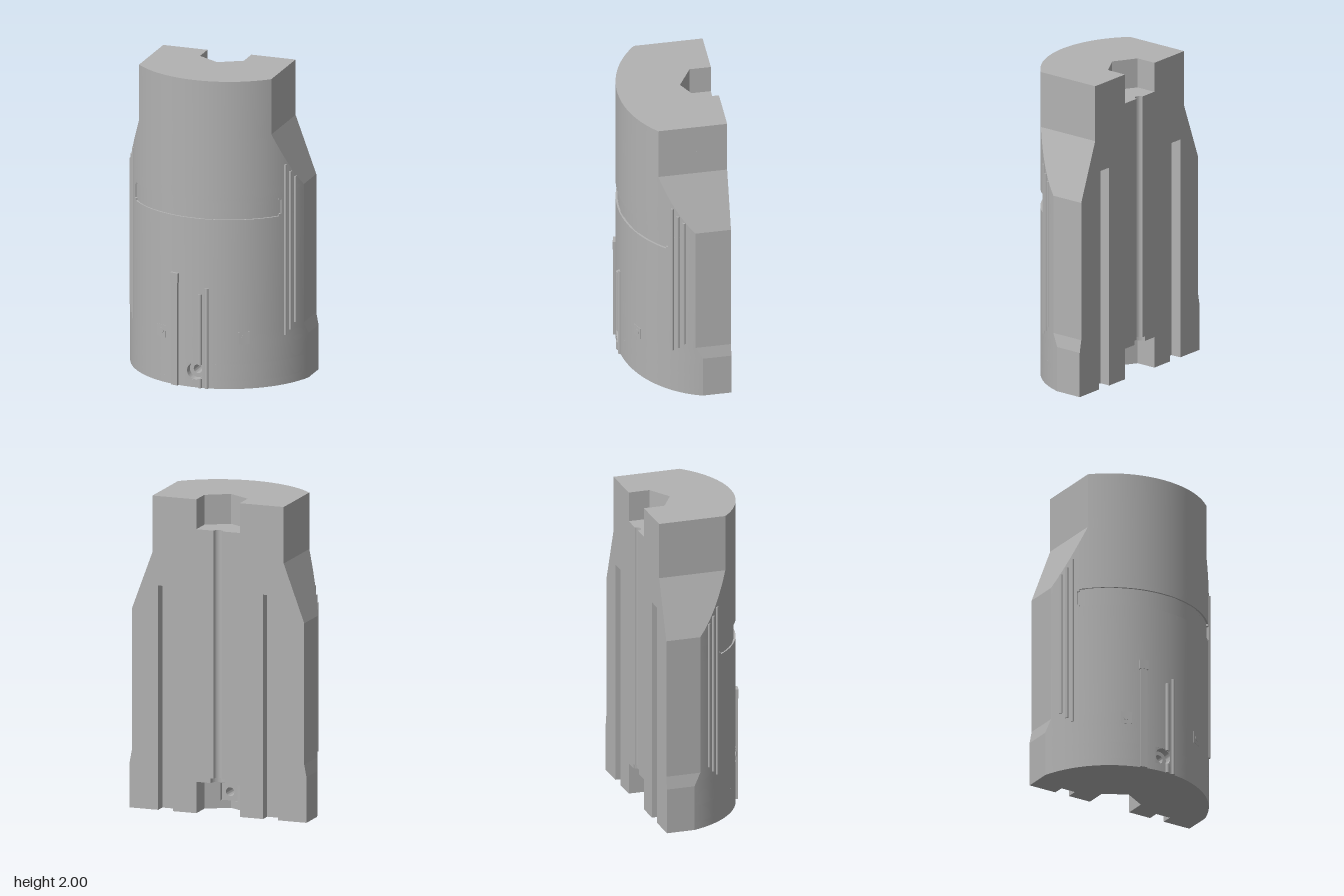
import * as THREE from 'three';
import { toCreasedNormals } from 'three/addons/utils/BufferGeometryUtils.js';

const R = 0.617;      // radius of the round front
const BACK = -0.315;  // flat back plane, also the centre of the round front
const N = 28;

// half width of the silhouette at each height
const WIDTHS = [[0, 0.59], [0.29, 0.59], [0.37, 0.575], [1.27, 0.575], [1.64, 0.438], [2, 0.438]];
function halfWidth(y) {
  for (let i = 1; i < WIDTHS.length; i++) {
    const [y0, w0] = WIDTHS[i - 1], [y1, w1] = WIDTHS[i];
    if (y <= y1) return w0 + (w1 - w0) * (y - y0) / (y1 - y0);
  }
  return WIDTHS[WIDTHS.length - 1][1];
}

const surfaceZ = x => BACK + Math.sqrt(R * R - x * x);

function arc(pts, r, a0, a1, n) {
  for (let i = 0; i <= n; i++) {
    const a = a0 + (a1 - a0) * i / n;
    pts.push([r * Math.sin(a), BACK + r * Math.cos(a)]);
  }
}

// horizontal section of the +x half, from the front middle round to the back middle
function halfSection(y, { x0 = 0, slot, groove, recess }) {
  const pts = [], w = halfWidth(y), end = Math.asin(w / R);
  if (recess) {
    const a = Math.asin(recess / R);
    arc(pts, R - 0.012, 0, a, N);
    arc(pts, R, a, end, 8);
  } else arc(pts, R, Math.asin(x0 / R), end, N);
  pts.push([w, BACK]);
  if (slot) pts.push([0.4, BACK], [0.4, BACK + 0.07], [0.3, BACK + 0.07], [0.3, BACK]);
  if (groove) {
    for (let i = 0; i <= 8; i++) {
      const a = i / 8 * Math.PI / 2;
      pts.push([groove * Math.cos(a), BACK + groove * Math.sin(a)]);
    }
  } else pts.push([0.145, BACK], [0.145, -0.18], [x0, -0.095 - 0.085 * x0 / 0.145]);
  return pts;
}

// both mirrored halves of the body, stacked from slabs
function bodyGeometry(slabs) {
  const pos = [];
  const tri = (a, b, c) => {
    pos.push(...a, ...b, ...c);
    for (const p of [a, c, b]) pos.push(-p[0], p[1], p[2]);
  };
  const cap = (pts, y, up) => {
    const v = pts.map(p => new THREE.Vector2(p[0], p[1]));
    for (const [i, j, k] of THREE.ShapeUtils.triangulateShape(v, [])) {
      const [a, b, c] = [i, j, k].map(n => [pts[n][0], y, pts[n][1]]);
      const ny = (b[2] - a[2]) * (c[0] - a[0]) - (b[0] - a[0]) * (c[2] - a[2]);
      if ((ny > 0) === up) tri(a, b, c); else tri(a, c, b);
    }
  };
  for (const [y0, y1, opts, steps = 1] of slabs) {
    for (let s = 0; s < steps; s++) {
      const ya = y0 + (y1 - y0) * s / steps, yb = y0 + (y1 - y0) * (s + 1) / steps;
      const lo = halfSection(ya, opts), hi = halfSection(yb, opts);
      const P = (q, i, y) => [q[i % q.length][0], y, q[i % q.length][1]];
      for (let i = 0; i < lo.length; i++) {
        tri(P(lo, i, ya), P(lo, i + 1, ya), P(hi, i + 1, yb));
        tri(P(lo, i, ya), P(hi, i + 1, yb), P(hi, i, yb));
      }
      if (s === 0) cap(lo, ya, false);
      if (s === steps - 1) cap(hi, yb, true);
    }
  }
  const g = new THREE.BufferGeometry();
  g.setAttribute('position', new THREE.Float32BufferAttribute(pos, 3));
  return toCreasedNormals(g, 0.13);
}

export function createModel() {
  const model = new THREE.Group();
  const grey = new THREE.MeshStandardMaterial({ color: 0xb2b2b2 });
  grey.name = 'grey';
  const add = (name, geometry, x = 0, y = 0, z = 0) => {
    const m = new THREE.Mesh(geometry, grey);
    m.name = name;
    m.position.set(x, y, z);
    model.add(m);
    return m;
  };

  // main body: pockets at both ends, back channels and a shallow front window
  const slot = true, groove = 0.03;
  add('body', bodyGeometry([
    [0, 0.05, { slot }],
    [0.05, 0.16, { slot, x0: 0.056 }],
    [0.16, 0.2, { slot }],
    [0.2, 0.23, { slot, groove: 0.05 }],
    [0.23, 0.29, { slot, groove }],
    [0.29, 0.37, { slot, groove }],
    [0.37, 1.1, { slot, groove }],
    [1.1, 1.115, { slot, groove, recess: 0.475 }],
    [1.115, 1.205, { slot, groove, recess: 0.485 }],
    [1.205, 1.22, { slot, groove, recess: 0.475 }],
    [1.22, 1.27, { slot, groove }],
    [1.27, 1.43, { slot, groove }, 4],
    [1.43, 1.64, { groove }, 5],
    [1.64, 1.81, { groove }],
    [1.81, 2, {}],
  ]));

  // counterbored bolt hole through the lower front
  const holeBlock = (name, r, z0, z1) => {
    const s = new THREE.Shape();
    s.moveTo(-0.056, -0.055).lineTo(0.056, -0.055).lineTo(0.056, 0.055).lineTo(-0.056, 0.055).closePath();
    s.holes.push(new THREE.Path().absarc(0, 0, r, 0, Math.PI * 2, true));
    const g = new THREE.ExtrudeGeometry(s, { depth: z1 - z0, bevelEnabled: false, curveSegments: 24 });
    add(name, toCreasedNormals(g, 0.5), 0, 0.105, z0);
  };
  holeBlock('boltHole', 0.028, -0.11, 0.25);
  holeBlock('boltCounterbore', 0.0535, 0.25, 0.3);

  // upright rods half sunk in the surface
  const rod = (name, x, y0, y1, r) =>
    add(name, new THREE.CylinderGeometry(r, r, y1 - y0, 16), x, (y0 + y1) / 2, surfaceZ(Math.abs(x)));
  rod('frontRodFoot', 0.032, 0, 0.06, 0.013);
  rod('frontRodShort', 0.032, 0.15, 0.61, 0.013);
  rod('frontRodLong', 0.075, 0, 0.65, 0.013);
  for (const s of [1, -1]) {
    rod('sideRodLong', s * 0.503, 0.32, 1.43, 0.01);
    rod('sideRodMiddle', s * 0.524, 0.35, 1.38, 0.01);
    rod('sideRodShort', s * 0.544, 0.39, 1.34, 0.01);
  }

  // square rail with a slightly wider head
  const onSurface = (name, geometry, x, y) => {
    const m = add(name, geometry, x, y, surfaceZ(x));
    m.rotation.y = Math.asin(x / R);
    return m;
  };
  onSurface('rail', new THREE.BoxGeometry(0.046, 0.7, 0.03), -0.136, 0.35);
  onSurface('railHead', new THREE.BoxGeometry(0.056, 0.06, 0.036), -0.136, 0.7);

  // small flush pads with pins
  for (const x of [-0.24, 0.295]) {
    onSurface('pad', new THREE.BoxGeometry(0.07, 0.08, 0.004), x, 0.33);
    onSurface('pin', new THREE.CylinderGeometry(0.018, 0.018, 0.01, 16).rotateX(Math.PI / 2), x, 0.33);
  }

  // raised strips inside the window
  for (const [a, b] of [[-0.45, -0.3], [0.055, 0.115], [0.24, 0.3]]) {
    const t0 = Math.asin(a / R), t1 = Math.asin(b / R);
    add('windowStrip', new THREE.CylinderGeometry(R - 0.009, R - 0.009, 0.12, 8, 1, true, t0, t1 - t0), 0, 1.16, BACK);
  }
  return model;
}
